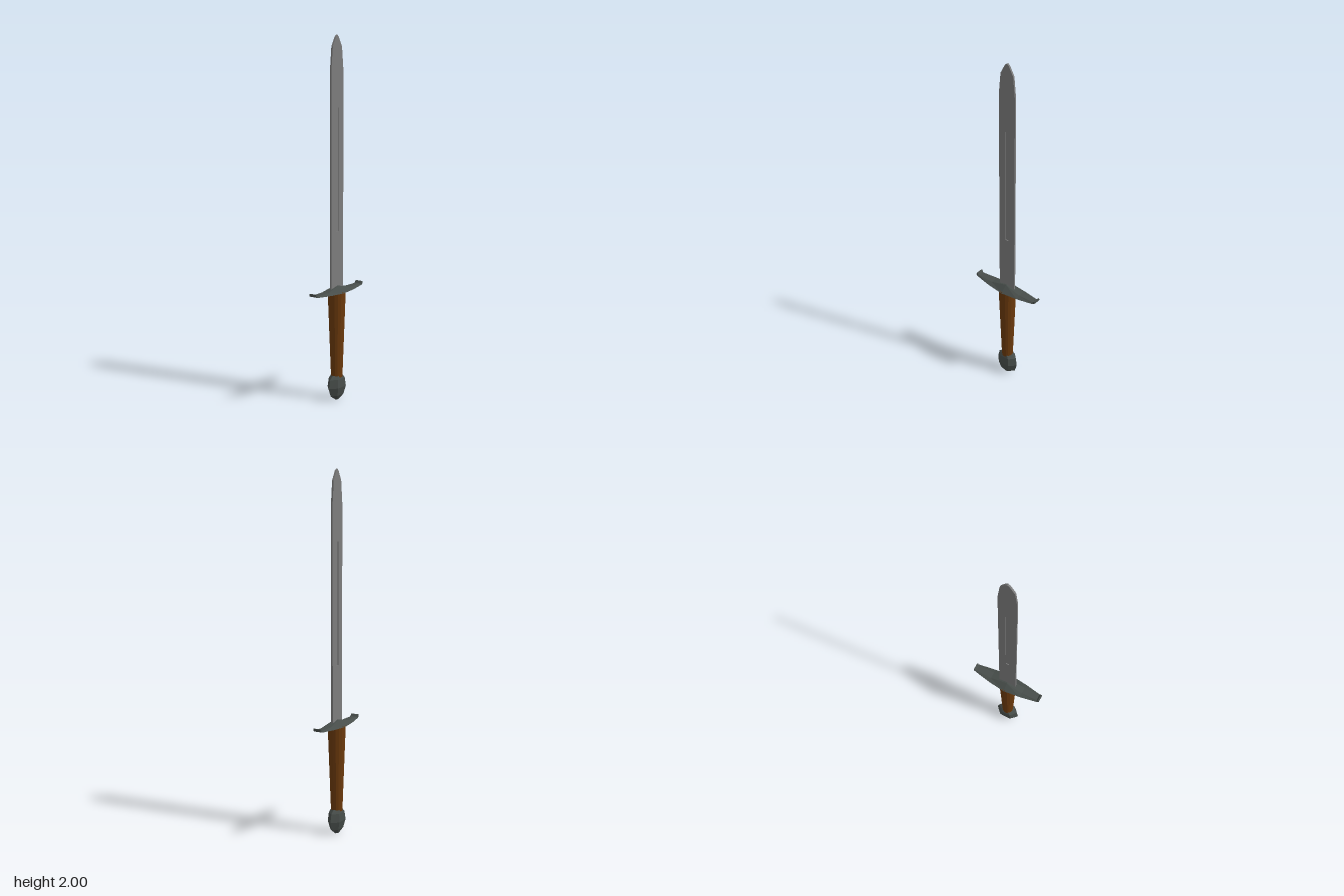
import * as THREE from 'three';

const material = (color) => new THREE.MeshStandardMaterial({ color, flatShading: true });

function addPart(group, name, geometry, mat) {
  const mesh = new THREE.Mesh(geometry, mat);
  mesh.name = name;
  group.add(mesh);
  return mesh;
}

// Closed skin over rings that turn counterclockwise about the loft direction
function loft(rings) {
  const n = rings[0].length;
  const index = [];
  for (let i = 0; i < rings.length - 1; i++) {
    for (let j = 0; j < n; j++) {
      const a = i * n + j, b = i * n + (j + 1) % n;
      index.push(a, b, b + n, a, b + n, a + n);
    }
  }
  const last = (rings.length - 1) * n;
  for (let j = 1; j < n - 1; j++) {
    index.push(0, j + 1, j, last, last + j, last + j + 1);
  }
  const geometry = new THREE.BufferGeometry();
  geometry.setAttribute('position', new THREE.Float32BufferAttribute(rings.flat(2), 3));
  geometry.setIndex(index);
  const flat = geometry.toNonIndexed();
  flat.computeVertexNormals();
  return flat;
}

export function createModel() {
  const sword = new THREE.Group();
  sword.name = 'sword';
  const steel = material(0x7c7c7c);
  const iron = material(0x474d4a);
  const leather = material(0x6b390c);

  // Thin blade with a tapered point and a slot for the groove
  const half = [[0.052, 0.62], [0.052, 1.82], [0.04, 1.94], [0.012, 1.99]];
  const outline = [...half, [0, 2], ...half.map(([x, y]) => [-x, y]).reverse()];
  const bladeShape = new THREE.Shape(outline.map(([x, y]) => new THREE.Vector2(x, y)));
  const slot = [[-0.01, 0.95], [-0.01, 1.62], [0.01, 1.62], [0.01, 0.95]];
  bladeShape.holes.push(new THREE.Path(slot.map(([x, y]) => new THREE.Vector2(x, y))));
  const blade = new THREE.ExtrudeGeometry(bladeShape, { depth: 0.01, bevelEnabled: false });
  addPart(sword, 'blade', blade, steel).position.z = -0.005;

  // Recessed floor of the groove on both faces
  const floor = new THREE.BoxGeometry(0.02, 0.67, 0.001);
  addPart(sword, 'bladeGroove', floor, steel).position.y = 1.285;

  // Crossguard: x, bottom y, top y, bottom half depth, top half depth
  const stations = [
    [0, 0.612, 0.648, 0.053, 0.012],
    [0.1, 0.614, 0.626, 0.042, 0.019],
    [0.195, 0.619, 0.626, 0.025, 0.017],
    [0.204, 0.621, 0.637, 0.023, 0.021],
    [0.211, 0.625, 0.638, 0.022, 0.021],
  ];
  const mirrored = stations.slice(1).reverse().map(([x, ...rest]) => [-x, ...rest]);
  const guardRings = [...mirrored, ...stations].map(([x, y0, y1, z0, z1]) => [
    [x, y0, z0], [x, y0, -z0], [x, y1, -z1], [x, y1, z1],
  ]);
  addPart(sword, 'crossguard', loft(guardRings), iron);

  // Tapered grip
  const grip = new THREE.CylinderGeometry(0.05, 0.032, 0.485, 16);
  addPart(sword, 'grip', grip, leather).position.y = 0.3735;

  // Faceted pommel, six-sided with flat front and back: y, half width, half depth
  const pommelLevels = [
    [0, 0.014, 0.01],
    [0.028, 0.056, 0.026],
    [0.075, 0.071, 0.037],
    [0.122, 0.06, 0.033],
    [0.14, 0.037, 0.027],
  ];
  const hexagon = [[1, 0], [0.5, -1], [-0.5, -1], [-1, 0], [-0.5, 1], [0.5, 1]];
  const pommelRings = pommelLevels.map(([y, w, d]) => hexagon.map(([x, z]) => [x * w, y, z * d]));
  addPart(sword, 'pommel', loft(pommelRings), iron);

  return sword;
}
